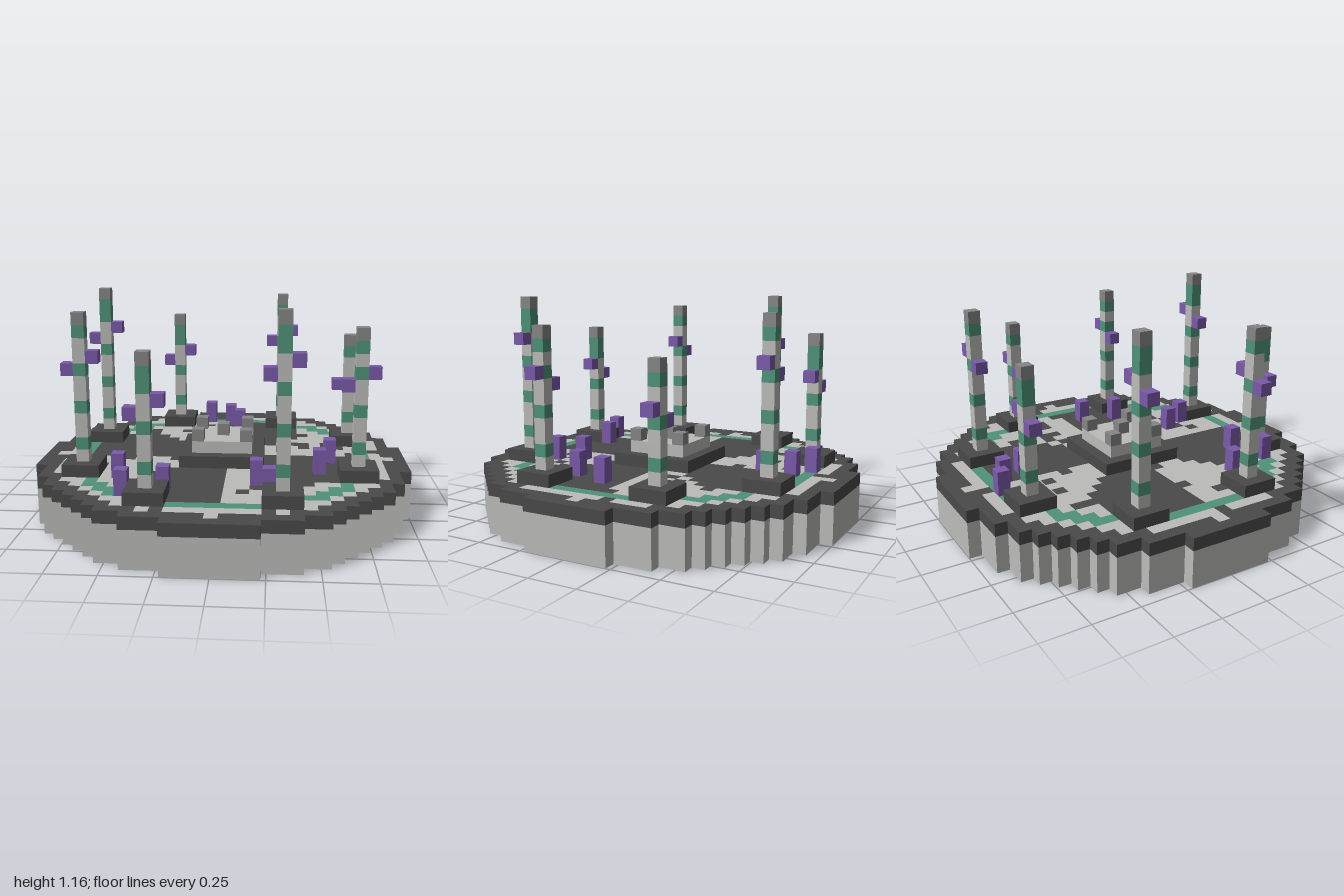
import * as THREE from 'three';
import { mergeGeometries } from 'three/addons/utils/BufferGeometryUtils.js';

const U = 2 / 31; // one block
const R2 = 15.5 * 15.5;

const flat = (name, color) => {
  const m = new THREE.MeshStandardMaterial({ color });
  m.name = name;
  return m;
};

// Box from block coordinates: centre column x, z; bottom y; size in blocks
function block(x, y, z, w = 1, h = 1, d = 1) {
  return new THREE.BoxGeometry(w * U, h * U, d * U).translate(x * U, (y + h / 2) * U, z * U);
}

// Dark stones that break up the pale paving, as column,row
const worn = new Set([
  '11,7', '13,7', '13,5', '14,9', '8,7',
  '20,12', '20,13', '21,11', '22,11', '22,12', '24,11', '24,12', '25,12', '26,14',
  '7,16', '11,16', '5,18',
  '18,19', '18,20', '18,23', '20,23', '17,24', '21,22', '20,25',
  '14,2', '2,16', '11,28', '19,28', '28,13',
]);

// Paving: dark rim, pale ring, green ring, then a pinwheel of eight sectors
function paving(x, z) {
  const d = x * x + z * z;
  if (d > R2) return null;
  if (d > 196) return 'dark';
  if (d > 132 && d < 168) return 'green';
  if (worn.has(`${x + 15},${z + 15}`)) return 'dark';
  if (d >= 168) return 'light';
  const angle = (Math.atan2(-z, x) * 180 / Math.PI + 360) % 90;
  const limit = d > 110 ? 53 : 45;
  // the axis itself belongs to the pale sector only on the left and right halves
  if (x === 0) return z > 0 ? 'dark' : 'dark';
  if (z === 0) return 'dark';
  return angle < limit - 0.01 ? 'light' : 'dark';
}

// Stepped round outline of the disc
function discShape() {
  const right = [];
  for (let z = -15; z <= 15; z++) {
    const w = Math.floor(Math.sqrt(R2 - z * z)) + 0.5;
    right.push([w, z - 0.5], [w, z + 0.5]);
  }
  const left = right.map(([x, z]) => [-x, z]).reverse();
  const pts = [...right, ...left]
    .map(([x, z]) => new THREE.Vector2(x * U, z * U))
    .filter((p, i, a) => i === 0 || p.distanceTo(a[i - 1]) > 1e-6);
  return new THREE.Shape(pts);
}

export function createModel() {
  const mats = {
    dark: flat('dark stone', 0x4a4a4a),
    light: flat('pale stone', 0xbcbcba),
    grey: flat('grey stone', 0x868686),
    green: flat('green stone', 0x4f9379),
    purple: flat('purple crystal', 0x7a5aa9),
  };
  const model = new THREE.Group();
  model.name = 'stoneCirclePlatform';

  const add = (parent, name, mat, geos) => {
    const mesh = new THREE.Mesh(geos.length > 1 ? mergeGeometries(geos) : geos[0], mats[mat]);
    mesh.name = name;
    parent.add(mesh);
  };

  // Foundation
  const base = new THREE.ExtrudeGeometry(discShape(), { depth: 3 * U, bevelEnabled: false });
  base.rotateX(-Math.PI / 2);
  add(model, 'foundation', 'light', [base]);

  // Paved floor, one box for each run of equal colour
  const floor = { dark: [], light: [], green: [] };
  for (let z = -15; z <= 15; z++) {
    let start = -15;
    for (let x = -15; x <= 15; x++) {
      const c = paving(x, z);
      if (x < 15 && paving(x + 1, z) === c) continue;
      if (c) floor[c].push(block((start + x) / 2, 3, z, x - start + 1));
      start = x + 1;
    }
  }
  add(model, 'darkPavingAndRim', 'dark', floor.dark);
  add(model, 'palePaving', 'light', floor.light);
  add(model, 'greenRing', 'green', floor.green);

  // Central altar
  const altar = new THREE.Group();
  altar.name = 'altar';
  model.add(altar);
  add(altar, 'altarStep', 'dark', [block(0, 4, 0, 7, 1, 7)]);
  add(altar, 'altarTop', 'light', [block(0, 5, 0, 5, 1, 5)]);
  add(altar, 'altarStuds', 'grey',
    [[0, 0], [-2, -2], [2, -2], [-2, 2], [2, 2]].map(([x, z]) => block(x, 6, z)));

  // Pillars: x, z, height of the top
  const pillars = [
    [-11, -5, 18], [-11, 5, 17], [-5, 11, 15], [5, 11, 18],
    [11, 5, 16], [11, -5, 14], [5, -11, 17], [-5, -11, 15],
  ];
  for (const [x, z, top] of pillars) {
    const pillar = new THREE.Group();
    pillar.name = 'pillar';
    model.add(pillar);
    const shaft = [], bands = [];
    for (let y = 5; y < top - 1; y++) {
      (y % 3 === 0 || y === top - 2 ? bands : shaft).push(block(x, y, z));
    }
    add(pillar, 'pillarFoot', 'dark', [block(x, 4, z, 3, 1, 3)]);
    add(pillar, 'pillarShaft', 'light', shaft);
    add(pillar, 'pillarBands', 'green', bands);
    add(pillar, 'pillarCap', 'grey', [block(x, top - 1, z)]);
    add(pillar, 'pillarCrystals', 'purple', [block(x + 1, top - 4, z), block(x - 1, top - 5, z)]);
  }

  // Crystals standing on the floor
  const crystals = [
    [-2, -12], [0, -11], [1, -9], [9, 1], [8, 4],
    [-8, 6], [-4, 9], [-7, 10], [3, 7], [4, 9],
  ];
  add(model, 'floorCrystals', 'purple', crystals.map(([x, z]) => block(x, 4, z, 1, 2, 1)));

  return model;
}
